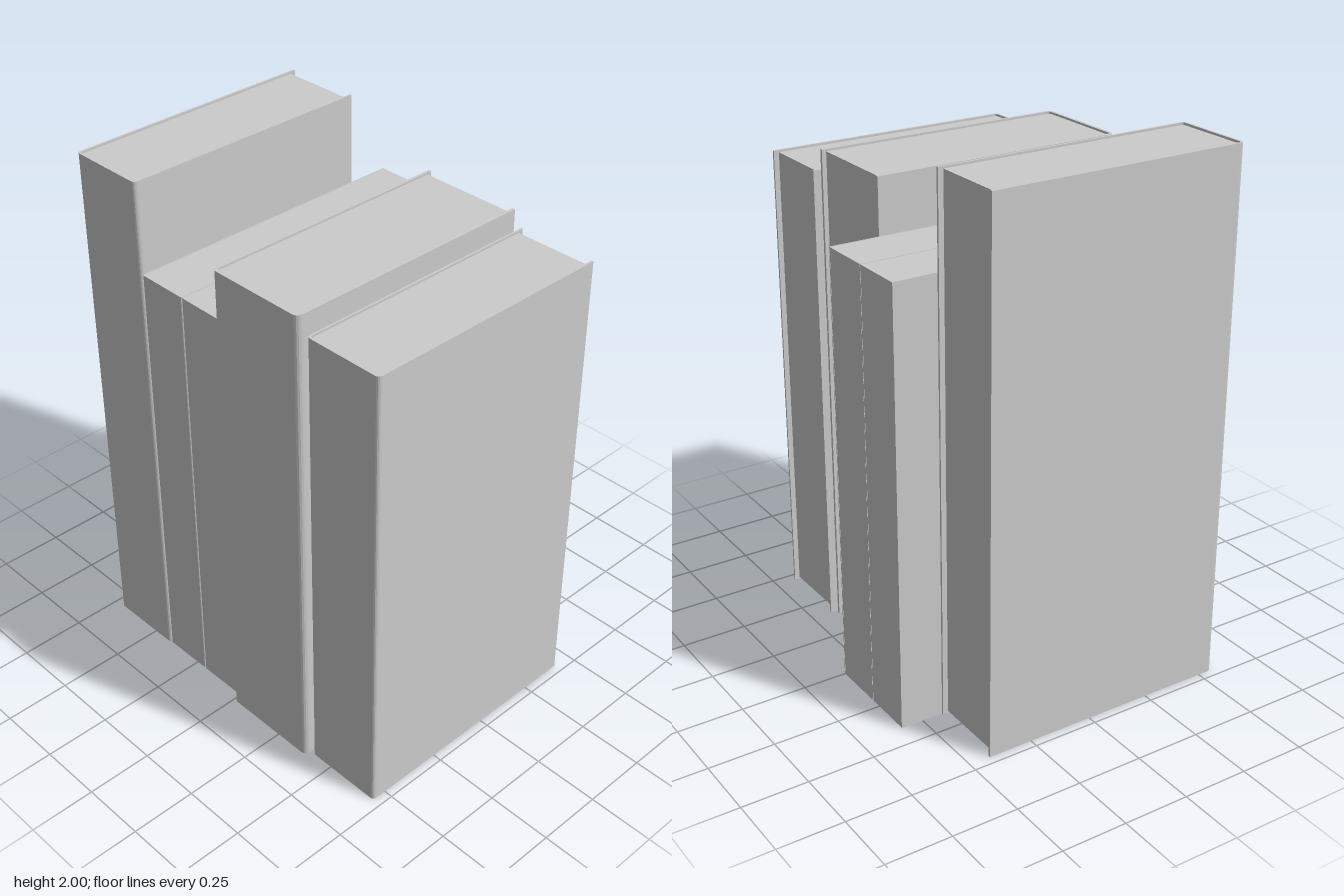
import * as THREE from 'three';

const material = new THREE.MeshStandardMaterial({ color: 0xcccccc });

// U-shaped cover outline, drawn in x and -z so that it extrudes upwards
function coverShape(x0, x1, back, front, t, r) {
  const s = new THREE.Shape();
  const ri = Math.max(r - t, 0.002);
  const a = x0 + t, b = x1 - t, f = front - t;
  s.moveTo(x0, -back);
  s.lineTo(x0, -front + r);
  s.quadraticCurveTo(x0, -front, x0 + r, -front);
  s.lineTo(x1 - r, -front);
  s.quadraticCurveTo(x1, -front, x1, -front + r);
  s.lineTo(x1, -back);
  s.lineTo(b, -back);
  s.lineTo(b, -f + ri);
  s.quadraticCurveTo(b, -f, b - ri, -f);
  s.lineTo(a + ri, -f);
  s.quadraticCurveTo(a, -f, a, -f + ri);
  s.lineTo(a, -back);
  s.closePath();
  return s;
}

// One book: a folded cover around a page block
function makeBook({ name, x0, x1, back, front, height, t, r, pageBack, inset }) {
  const book = new THREE.Group();
  book.name = name;

  const coverGeo = new THREE.ExtrudeGeometry(coverShape(x0, x1, back, front, t, r), {
    depth: height, bevelEnabled: false, curveSegments: 5,
  });
  coverGeo.rotateX(-Math.PI / 2);
  const cover = new THREE.Mesh(coverGeo, material);
  cover.name = 'cover';

  const pageFront = front - t;
  const pages = new THREE.Mesh(
    new THREE.BoxGeometry(x1 - x0 - 2 * t, height - 2 * inset, pageFront - pageBack), material);
  pages.position.set((x0 + x1) / 2, height / 2, (pageFront + pageBack) / 2);
  pages.name = 'pages';

  book.add(cover, pages);
  return book;
}

export function createModel() {
  const model = new THREE.Group();
  model.name = 'bookRow';

  const hard = { t: 0.008, r: 0.018, inset: 0.008 };
  const soft = { t: 0.003, r: 0.008, inset: 0.001, back: -0.585, pageBack: -0.584, front: 0.553, height: 1.655 };
  const books = [
    { ...hard, name: 'tallHardback', x0: -0.717, x1: -0.41, back: -0.42, pageBack: -0.4, front: 0.558, height: 2 },
    { ...soft, name: 'firstPaperback', x0: -0.409, x1: -0.206 },
    { ...soft, name: 'secondPaperback', x0: -0.205, x1: -0.001 },
    { ...hard, name: 'wideHardback', x0: 0, x1: 0.396, back: -0.395, pageBack: -0.378, front: 0.585, height: 1.862, t: 0.011, r: 0.026 },
    { ...hard, name: 'shortHardback', x0: 0.406, x1: 0.717, back: -0.42, pageBack: -0.4, front: 0.558, height: 1.786 },
  ];
  for (const b of books) model.add(makeBook(b));
  return model;
}
